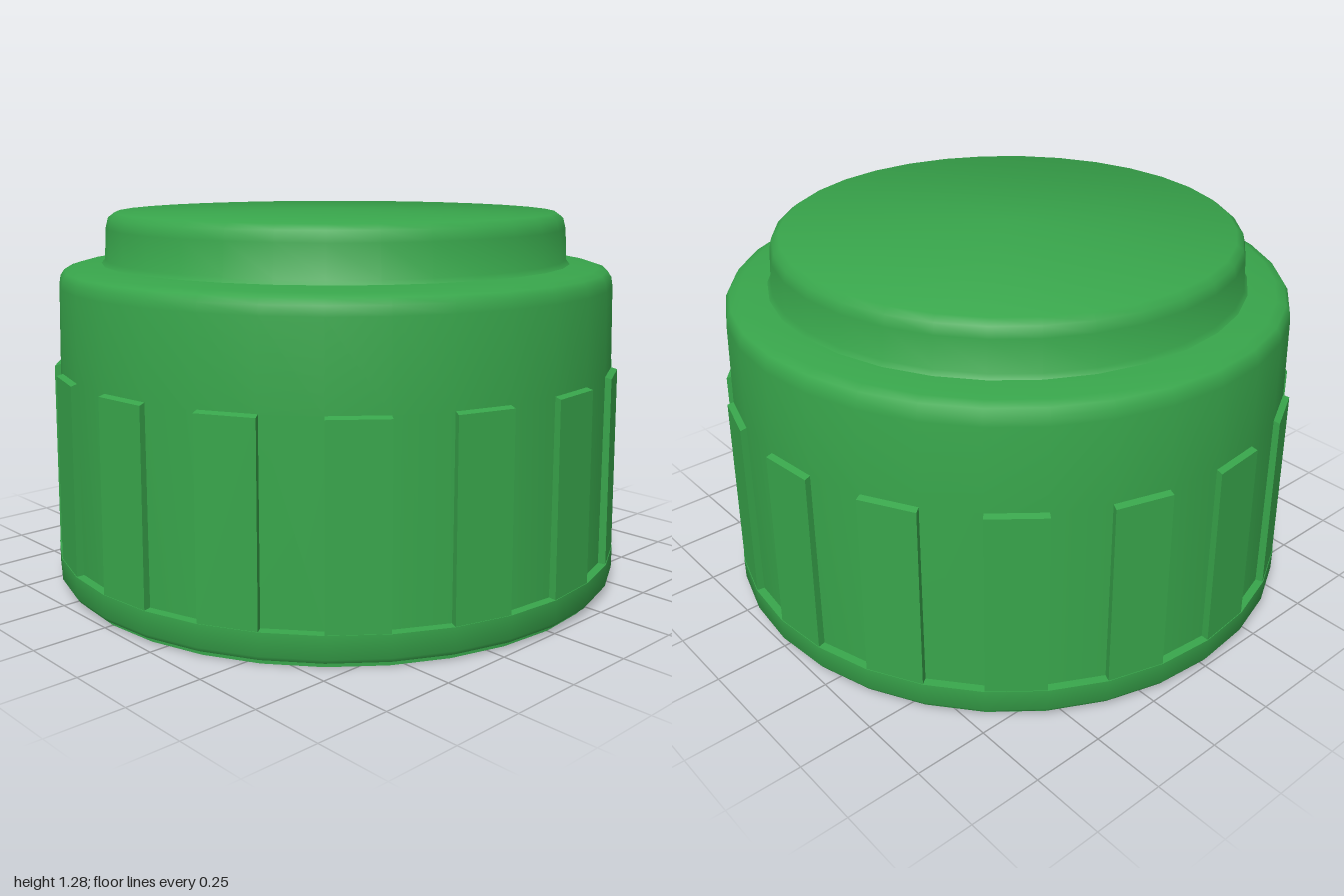
import * as THREE from 'three';
import { toCreasedNormals } from 'three/addons/utils/BufferGeometryUtils.js';

const SIDES = 32;
const STEP = (Math.PI * 2) / SIDES;
const green = new THREE.MeshStandardMaterial({ color: 0x38a54b });

function addMesh(parent, name, geometry) {
  const mesh = new THREE.Mesh(geometry, green);
  mesh.name = name;
  parent.add(mesh);
}

// Hollow shell: from the inner ceiling down the bore, round the lip and up the outside
function shellGeometry() {
  const profile = [
    [0, 0.85], [0.83, 0.85], [0.85, 0.83], [0.85, 0],
    [0.97, 0], [0.97, 0.015], [0.99, 0.02], [1, 0.035], [1, 0.11], [0.973, 0.112],
    [0.968, 0.75], [0.96, 1.03], [0.955, 1.06], [0.942, 1.08], [0.91, 1.09],
    [0.815, 1.1], [0.803, 1.115], [0.797, 1.22], [0.788, 1.255], [0.765, 1.272], [0, 1.278],
  ].map(([r, y]) => new THREE.Vector2(r, y));
  return toCreasedNormals(new THREE.LatheGeometry(profile, SIDES), 0.7);
}

// Grip rib: a box bent to one facet of the body, tapered and bevelled at the top
function ribGeometry(angle) {
  const geometry = new THREE.BoxGeometry(1, 1, 1);
  const pos = geometry.attributes.position;
  for (let i = 0; i < pos.count; i++) {
    const outer = pos.getZ(i) > 0;
    const top = pos.getY(i) > 0;
    const a = angle + (pos.getX(i) + 0.5) * STEP;
    const r = outer ? (top ? 0.989 : 0.998) : 0.94;
    const y = top ? (outer ? 0.745 : 0.76) : 0.11;
    pos.setXYZ(i, Math.sin(a) * r, y, Math.cos(a) * r);
  }
  geometry.computeVertexNormals();
  return geometry;
}

// Internal screw thread: a trapezoid section swept along a right-hand helix
function threadGeometry() {
  const section = [[0.86, -0.06], [0.8, -0.02], [0.8, 0.025], [0.86, 0.06]];
  const pitch = 0.26, start = -Math.PI / 4, before = 11, count = 92;
  const positions = [], index = [];
  for (let i = 0; i <= count; i++) {
    const a = start + (i - before) * STEP;
    const y = 0.125 + (pitch * (i - before)) / SIDES;
    const fade = Math.min(1, i / 3, (count - i) / 3);
    for (const [r, dy] of section) {
      const radius = 0.86 + (r - 0.86) * fade;
      positions.push(Math.sin(a) * radius, Math.max(0.005, y + dy * fade), Math.cos(a) * radius);
    }
    if (i === count) break;
    for (let j = 0; j < section.length - 1; j++) {
      const p = i * 4 + j, q = p + 4;
      index.push(p, p + 1, q, q, p + 1, q + 1);
    }
  }
  // Corners run so that the faces look towards the axis
  const geometry = new THREE.BufferGeometry();
  geometry.setAttribute('position', new THREE.Float32BufferAttribute(positions, 3));
  geometry.setIndex(index);
  geometry.computeVertexNormals();
  return toCreasedNormals(geometry, 0.5);
}

export function createModel() {
  const model = new THREE.Group();
  model.name = 'screwCap';

  addMesh(model, 'capShell', shellGeometry());
  addMesh(model, 'innerThread', threadGeometry());

  // Ribs on every second facet
  const ribs = new THREE.Group();
  ribs.name = 'gripRibs';
  for (let i = 0; i < SIDES; i += 2) addMesh(ribs, 'gripRib', ribGeometry(i * STEP));
  model.add(ribs);

  return model;
}
